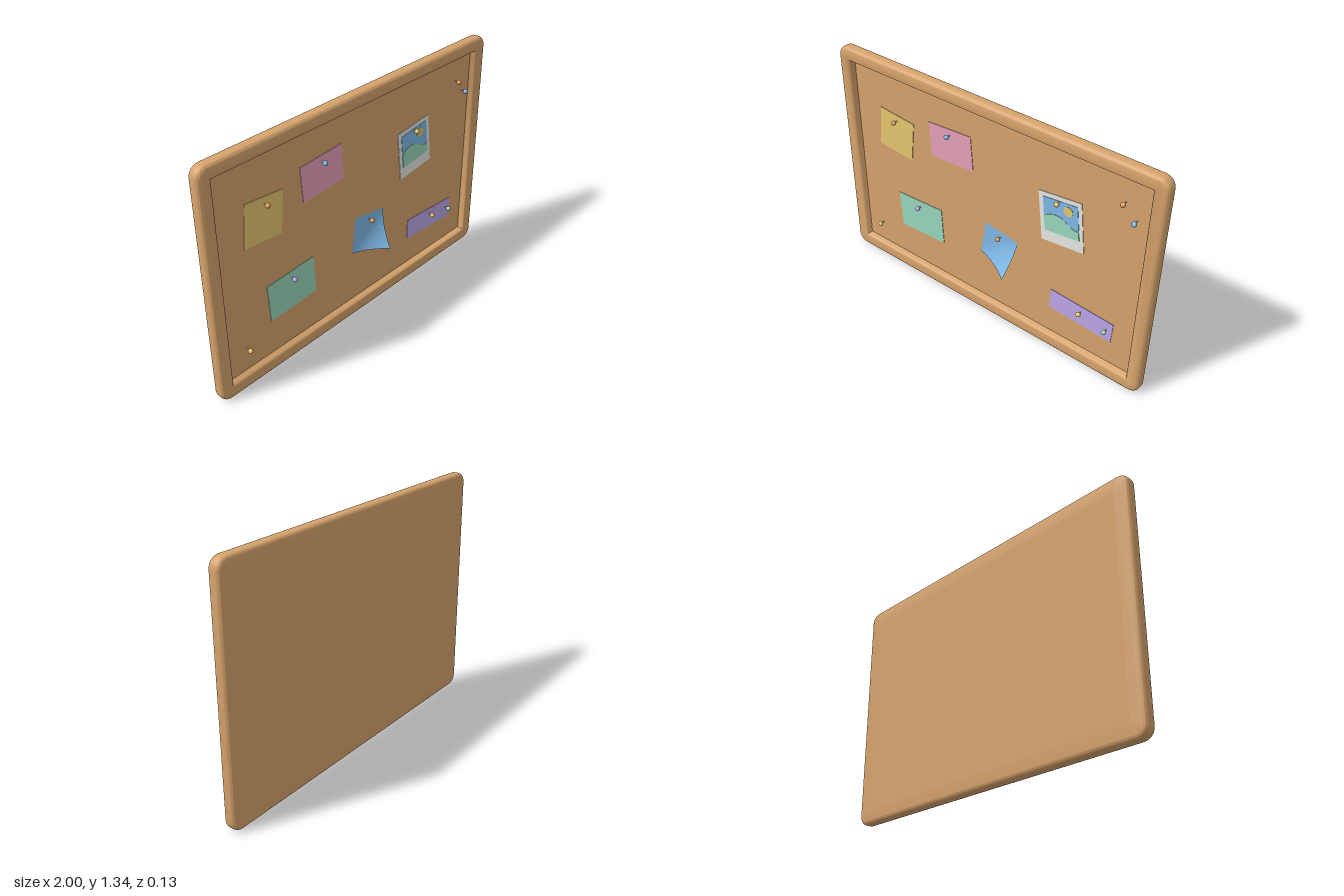
import * as THREE from 'three';
import { toCreasedNormals } from 'three/addons/utils/BufferGeometryUtils.js';

const material = (name, color) => new THREE.MeshStandardMaterial({ name, color });
const HEIGHT = 1.335, BACK = -0.063, BOARD = -0.03;

// Frame: a rounded cross-section (inset, z) swept round a rounded rectangle
function frameGeometry() {
  const profile = [[0.085, BACK]];
  const arc = (cx, cz, r, from, to) => {
    for (let i = 0; i <= 6; i++) {
      const a = from + (to - from) * i / 6;
      profile.push([cx + Math.cos(a) * r, cz + Math.sin(a) * r]);
    }
  };
  arc(0.022, BACK + 0.022, 0.022, Math.PI * 1.5, Math.PI);
  arc(0.022, -0.017, 0.022, Math.PI, Math.PI / 2);
  arc(0.06, -0.013, 0.018, Math.PI / 2, 0);
  profile.push([0.086, BOARD - 0.002]);

  const radius = 0.06, steps = 8, ring = 4 * (steps + 1);
  const positions = [], index = [];
  profile.forEach(([inset, z], p) => {
    const r = Math.max(radius - inset, 0.0005);
    for (let c = 0; c < 4; c++) {
      const sx = c === 0 || c === 3 ? 1 : -1, sy = c < 2 ? 1 : -1;
      for (let s = 0; s <= steps; s++) {
        const a = (c + s / steps) * Math.PI / 2;
        positions.push(
          sx * (1 - inset - r) + Math.cos(a) * r,
          HEIGHT / 2 + sy * (HEIGHT / 2 - inset - r) + Math.sin(a) * r, z);
      }
    }
    if (p === 0) return;
    for (let j = 0; j < ring; j++) {
      const k = (j + 1) % ring, a = (p - 1) * ring, b = p * ring;
      index.push(a + j, a + k, b + k, a + j, b + k, b + j);
    }
  });
  const geometry = new THREE.BufferGeometry();
  geometry.setAttribute('position', new THREE.Float32BufferAttribute(positions, 3));
  geometry.setIndex(index);
  return toCreasedNormals(geometry, 0.6);
}

// Sheet between four corners (TL, TR, BR, BL) whose last corner curls forward
function curledSheet([tl, tr, br, bl], z, lift) {
  const geometry = new THREE.PlaneGeometry(1, 1, 14, 14);
  const pos = geometry.attributes.position, uv = geometry.attributes.uv;
  for (let i = 0; i < pos.count; i++) {
    const u = uv.getX(i), v = 1 - uv.getY(i);
    const mix = n => (tl[n] * (1 - u) + tr[n] * u) * (1 - v) + (bl[n] * (1 - u) + br[n] * u) * v;
    const t = Math.max(0, (u + v - 0.8) / 1.2);
    pos.setXYZ(i, mix(0), mix(1), z + lift * t * t);
  }
  geometry.computeVertexNormals();
  return geometry;
}

export function createModel() {
  const group = new THREE.Group();
  group.name = 'pinboard';
  const wood = material('wood', 0xd6a36c);
  const yellow = material('yellow', 0xebcb72);
  const pink = material('pink', 0xeda5be);
  const green = material('green', 0x9ad8bd);
  const blue = material('blue', 0x86c3f4);
  const purple = material('purple', 0xc0a9ea);
  const white = material('white', 0xeeeeea);
  const orange = material('orange', 0xe0a060);
  const curlBlue = material('curled blue', 0x86c3f4);
  curlBlue.side = THREE.DoubleSide;

  const add = (name, geometry, mat, parent = group) => {
    const mesh = new THREE.Mesh(geometry, mat);
    mesh.name = name;
    parent.add(mesh);
    return mesh;
  };
  const plate = (name, shape, z, mat, depth = 0.003) =>
    add(name, new THREE.ExtrudeGeometry(shape, { depth, bevelEnabled: false, curveSegments: 20 })
      .translate(0, 0, z), mat);
  const outline = corners => new THREE.Shape(corners.map(([x, y]) => new THREE.Vector2(x, y)));

  // Frame and board
  add('frame', frameGeometry(), wood);
  add('board', new THREE.BoxGeometry(1.83, HEIGHT - 0.17, BOARD - BACK), wood)
    .position.set(0, HEIGHT / 2, (BOARD + BACK) / 2);

  // Flat notes
  plate('yellowNote', outline([[-0.74, 1.035], [-0.505, 1.012], [-0.53, 0.775], [-0.765, 0.797]]), BOARD, yellow);
  plate('pinkNote', outline([[-0.395, 1.075], [-0.115, 1.093], [-0.1, 0.89], [-0.38, 0.872]]), BOARD, pink);
  plate('greenNote', outline([[-0.645, 0.51], [-0.33, 0.527], [-0.318, 0.304], [-0.632, 0.287]]), BOARD, green);
  plate('purpleNote', outline([[0.42, 0.378], [0.802, 0.355], [0.796, 0.23], [0.414, 0.253]]), BOARD, purple);

  // Note with a curled corner
  add('curledNote', curledSheet([[-0.015, 0.605], [0.2, 0.57], [0.165, 0.36], [-0.045, 0.395]], BOARD + 0.003, 0.09), curlBlue);

  // Photo: card, sky, hills and sun
  plate('photoCard', outline([[0.312, 0.968], [0.562, 0.998], [0.595, 0.71], [0.345, 0.68]]), BOARD, white);
  plate('photoSky', outline([[0.34, 0.945], [0.542, 0.97], [0.565, 0.776], [0.363, 0.75]]), BOARD + 0.003, blue, 0.002);
  const hills = new THREE.Shape();
  hills.moveTo(0.363, 0.75);
  hills.lineTo(0.565, 0.776);
  hills.lineTo(0.558, 0.83);
  hills.bezierCurveTo(0.53, 0.82, 0.51, 0.835, 0.49, 0.845);
  hills.bezierCurveTo(0.45, 0.88, 0.39, 0.87, 0.353, 0.832);
  plate('photoHills', hills, BOARD + 0.005, green, 0.002);
  plate('photoSun', new THREE.Shape().absarc(0.492, 0.92, 0.027, 0, Math.PI * 2), BOARD + 0.005, yellow, 0.002);

  // Round-headed pins
  const pins = [
    [-0.627, 0.988, orange], [-0.252, 1.05, blue], [0.438, 0.952, yellow],
    [0.788, 1.118, orange], [0.854, 1.04, blue], [-0.485, 0.482, purple],
    [0.086, 0.554, orange], [0.61, 0.332, yellow], [0.766, 0.304, green],
    [-0.8, 0.218, yellow],
  ];
  const head = new THREE.SphereGeometry(0.0135, 20, 14);
  const stem = new THREE.CylinderGeometry(0.003, 0.003, 0.032, 8).rotateX(Math.PI / 2);
  for (const [x, y, mat] of pins) {
    const pin = new THREE.Group();
    pin.name = 'pin';
    pin.position.set(x, y, -0.001);
    add('pinHead', head, mat, pin);
    add('pinStem', stem, white, pin).position.z = -0.016;
    group.add(pin);
  }
  return group;
}
